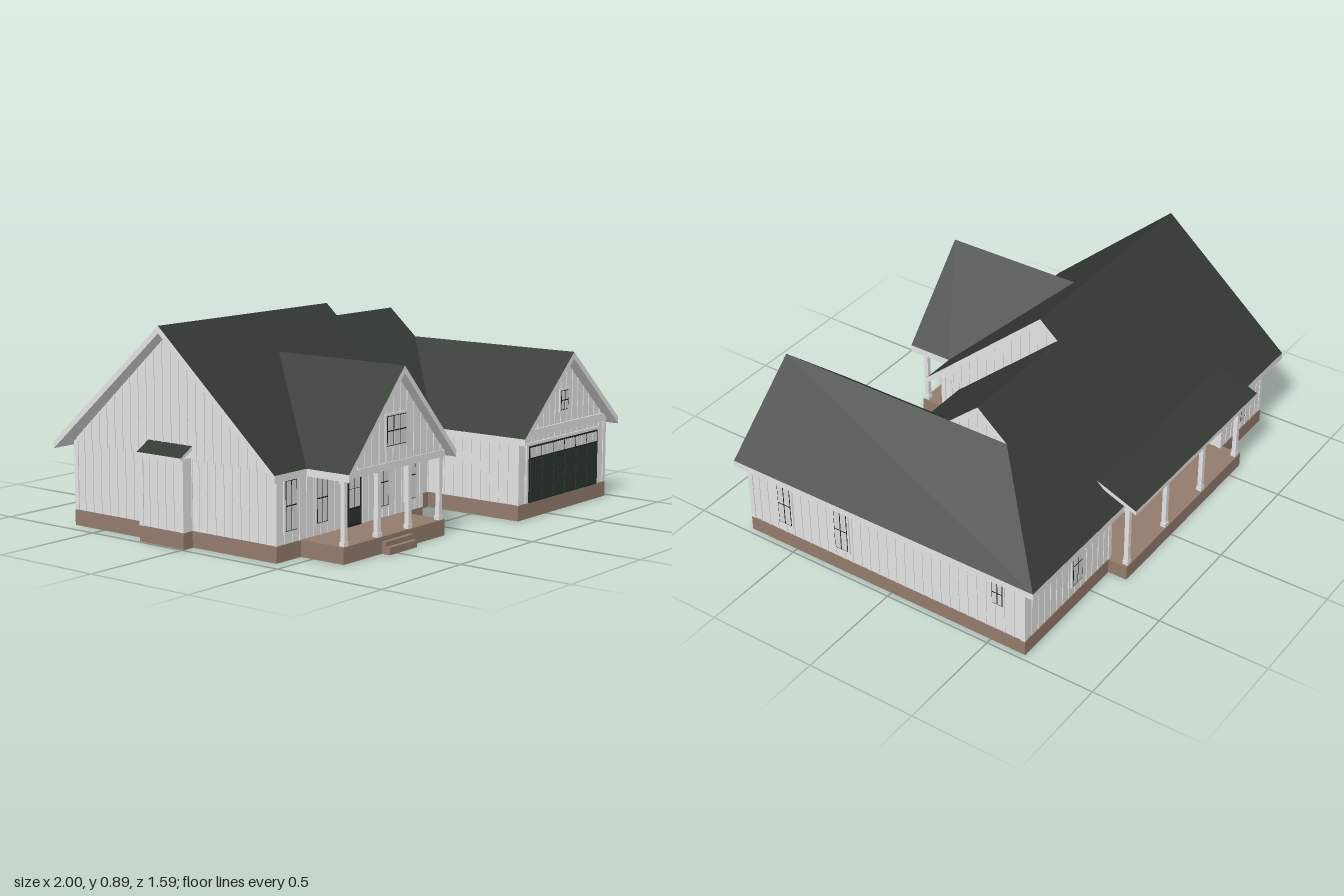
import * as THREE from 'three';

const mat = (name, color) => Object.assign(new THREE.MeshStandardMaterial({ color }), { name });

export function createModel() {
  const root = new THREE.Group();
  root.name = 'house';
  const M = {
    roof: mat('roof green', 0x333933), wall: mat('siding white', 0xe3e3e3), brick: mat('brick brown', 0x937b6d),
    door: mat('door green', 0x2b342d), glass: mat('glass grey', 0xd6d9d8), frame: mat('sash dark', 0x222624),
    floor: mat('garage floor grey', 0x7c7c7e), inner: mat('interior grey', 0xbcc0ba),
  };
  const add = (name, geo, m, parent = root) => {
    const mesh = new THREE.Mesh(geo, m);
    mesh.name = name;
    parent.add(mesh);
    return mesh;
  };
  // Box given by its minimum and maximum corners
  const box = (name, m, x0, y0, z0, x1, y1, z1, parent = root) => {
    const mesh = add(name, new THREE.BoxGeometry(x1 - x0, y1 - y0, z1 - z0), m, parent);
    mesh.position.set((x0 + x1) / 2, (y0 + y1) / 2, (z0 + z1) / 2);
    return mesh;
  };

  // Roof slab: dark top face, light fascia and soffit; corners are [x, y, z]
  const roof = (name, pts, t = 0.03) => {
    let flat = pts.map(p => new THREE.Vector2(p[0], -p[2]));
    if (THREE.ShapeUtils.isClockWise(flat)) {
      pts = [...pts].reverse();
      flat = flat.reverse();
    }
    const top = [], trim = [];
    const low = p => [p[0], p[1] - t, p[2]];
    for (const [a, b, c] of THREE.ShapeUtils.triangulateShape(flat, [])) {
      top.push(...pts[a], ...pts[b], ...pts[c]);
      trim.push(...low(pts[c]), ...low(pts[b]), ...low(pts[a]));
    }
    pts.forEach((p, i) => {
      const q = pts[(i + 1) % pts.length];
      trim.push(...low(p), ...low(q), ...q, ...low(p), ...q, ...p);
    });
    for (const [n, arr, m] of [[name, top, M.roof], [name + ' fascia', trim, M.wall]]) {
      const g = new THREE.BufferGeometry();
      g.setAttribute('position', new THREE.Float32BufferAttribute(arr, 3));
      g.computeVertexNormals();
      add(n, g, m);
    }
  };
  const E = 0.36, back = z => E + 0.87 * (z + 0.72);
  const X = 0.625, Z1 = -0.113, R1 = back(Z1), R2 = back(-0.2), R3 = back(-0.34);
  roof('main front roof', [[-1, E, 0.487], [0.053, E, 0.487], [0.053, R1, Z1], [-1, R1, Z1]]);
  roof('back roof', [[-1, E, -0.72], [1, E, -0.72], [X, R3, -0.34], [X, R2, -0.2],
    [0.053, R2, -0.2], [0.053, R1, Z1], [-1, R1, Z1]]);
  roof('middle front roof', [[0.053, E, 0.315], [0.253, E, 0.315], [X, R3, -0.06], [X, R2, -0.2], [0.053, R2, -0.2]]);
  roof('garage left roof', [[0.253, E, 0.79], [X, R3, 0.79], [X, R3, -0.06], [0.253, E, 0.315]]);
  roof('garage right roof', [[X, R3, 0.79], [1, E, 0.79], [1, E, -0.72], [X, R3, -0.34]]);
  for (const s of [-1, 1]) {
    const x = -0.46 + s * 0.35;
    roof('porch roof', [[x, E, 0.697], [-0.46, 0.743, 0.697], [-0.46, 0.743, 0.047], [x, E, 0.487]]);
  }
  roof('back porch roof', [[-0.63, 0.46, -0.61], [0.37, 0.46, -0.61], [0.37, 0.385, -0.795], [-0.63, 0.385, -0.795]], 0.02);
  roof('side bay roof', [[-1, 0.37, -0.24], [-0.925, 0.415, -0.24], [-0.925, 0.415, 0], [-1, 0.37, 0]], 0.015);

  // Outer walls with battens, corner boards and foundation, following the plan outline
  const plan = [[-0.925, 0.43], [0, 0.43], [0, 0.26], [0.29, 0.26], [0.29, 0.732], [0.963, 0.732], [0.963, -0.655],
    [0.35, -0.655], [0.35, -0.5], [-0.58, -0.5], [-0.58, -0.655], [-0.925, -0.655],
    [-0.925, -0.23], [-0.978, -0.23], [-0.978, -0.01], [-0.925, -0.01]];
  const strip = (name, m, a, b, y0, y1, w) => box(name, m, Math.min(a[0], b[0]) - w, y0, Math.min(a[1], b[1]) - w,
    Math.max(a[0], b[0]) + w, y1, Math.max(a[1], b[1]) + w);
  plan.forEach((a, i) => {
    const b = plan[(i + 1) % plan.length];
    strip('wall', M.wall, a, b, 0.06, 0.365, 0.007);
    strip('foundation', M.brick, a, b, 0, 0.067, 0.011);
    strip('corner board', M.wall, a, a, 0.067, 0.36, 0.011);
    const len = Math.hypot(b[0] - a[0], b[1] - a[1]), n = Math.round(len / 0.045);
    for (let k = 1; k < n; k++) {
      const x = a[0] + (b[0] - a[0]) * k / n, z = a[1] + (b[1] - a[1]) * k / n;
      box('batten', M.wall, x - 0.01, 0.067, z - 0.003, x + 0.01, 0.36, z + 0.003).rotation.y =
        a[0] === b[0] ? 0 : Math.PI / 2;
    }
  });

  // Gable wall in its own plane: u runs sideways, y up
  const gable = (name, u0, u1, base, shoulder, peak, peakY, pos, turned) => {
    const g = new THREE.Group();
    g.name = name;
    const shape = new THREE.Shape([[u0, base], [u1, base], [u1, shoulder], [peak, peakY], [u0, shoulder]]
      .map(p => new THREE.Vector2(...p)));
    add('gable wall', new THREE.ExtrudeGeometry(shape, { depth: 0.014, bevelEnabled: false }), M.wall, g)
      .position.z = -0.007;
    for (let u = u0 + 0.045; u < u1 - 0.02; u += 0.045) {
      const f = u < peak ? (u - u0) / (peak - u0) : (u1 - u) / (u1 - peak);
      box('gable batten', M.wall, u - 0.003, base, -0.01, u + 0.003, shoulder + f * (peakY - shoulder), 0.01, g);
    }
    if (turned) g.rotation.y = -Math.PI / 2;
    g.position[turned ? 'x' : 'z'] = pos;
    root.add(g);
  };
  gable('left gable', -0.655, 0.43, 0.35, 0.373, Z1, R1 - 0.028, -0.925, true);
  gable('inner gable', -0.655, 0.43, 0.35, 0.373, Z1, R1 - 0.028, 0, true);
  gable('middle gable', -0.36, -0.04, 0.64, 0.65, -0.2, R2 - 0.02, 0.595, true);
  gable('garage gable', 0.29, 0.963, 0.35, 0.363, X, 0.668, 0.732, false);
  gable('porch gable', -0.79, -0.13, 0.345, 0.353, -0.46, 0.715, 0.645, false);
  box('garage gable band', M.wall, 0.28, 0.345, 0.72, 0.973, 0.38, 0.747);

  // Front and back porches
  box('front porch slab', M.brick, -0.79, 0, 0.43, -0.13, 0.068, 0.655);
  box('upper step', M.brick, -0.55, 0, 0.655, -0.37, 0.05, 0.675);
  box('lower step', M.brick, -0.55, 0, 0.675, -0.37, 0.03, 0.695);
  box('back porch slab', M.brick, -0.59, 0, -0.755, 0.36, 0.066, -0.5);
  const post = (x, z, top) => {
    box('porch post', M.wall, x - 0.01, 0.066, z - 0.01, x + 0.01, top, z + 0.01);
    for (const y of [0.066, top - 0.035])
      box('post block', M.wall, x - 0.014, y, z - 0.012, x + 0.014, y + 0.02, z + 0.012);
  };
  for (const x of [-0.77, -0.56, -0.36, -0.15]) post(x, 0.64, 0.35);
  for (const x of [-0.565, -0.265, 0.035, 0.335]) post(x, -0.74, 0.37);
  box('front porch beam', M.wall, -0.79, 0.33, 0.63, -0.13, 0.36, 0.656);
  for (const x of [-0.78, -0.14]) box('porch side beam', M.wall, x - 0.01, 0.33, 0.43, x + 0.01, 0.362, 0.64);
  box('back porch beam', M.wall, -0.58, 0.345, -0.75, 0.35, 0.378, -0.73);

  // Ceilings
  for (const [x0, z0, x1, z1] of [[-0.92, -0.5, 0, 0.43], [0, -0.5, 0.29, 0.26], [0.35, -0.655, 0.96, -0.5],
    [0.29, -0.5, 0.96, 0.73], [-0.92, -0.655, -0.58, -0.5], [-0.58, -0.73, 0.35, -0.5], [-0.79, 0.43, -0.13, 0.64]])
    box('ceiling', M.inner, x0, 0.342, z0, x1, 0.35, z1);

  // Garage floor, room partitions and kitchen counters
  box('garage floor', M.floor, 0.295, 0.03, -0.02, 0.955, 0.05, 0.725);
  for (const [a, b] of [[[0.29, -0.02], [0.96, -0.02]], [[0.29, -0.02], [0.29, 0.26]], [[-0.58, -0.5], [-0.58, 0.43]],
    [[-0.92, -0.1], [-0.58, -0.1]], [[-0.92, 0.13], [-0.58, 0.13]], [[-0.3, 0.1], [-0.3, 0.43]], [[-0.3, 0.1], [0, 0.1]],
    [[0.35, -0.5], [0.35, -0.02]], [[0.35, -0.3], [0.96, -0.3]], [[0.65, -0.65], [0.65, -0.02]], [[0, 0.1], [0, 0.26]],
    [[-0.92, -0.4], [-0.58, -0.4]], [[0.12, 0.02], [0.29, 0.02]]])
    strip('partition', M.inner, a, b, 0.06, 0.345, 0.006);
  for (const [x, z0, z1] of [[-0.16, -0.4, -0.05], [0.06, -0.48, 0.02]]) {
    box('kitchen cabinet', M.wall, x, 0.07, z0, x + 0.07, 0.15, z1);
    box('kitchen counter', M.frame, x - 0.005, 0.15, z0 - 0.005, x + 0.075, 0.157, z1 + 0.005);
  }

  // Framed opening through a wall, facing +z before turning; x, y, z is its centre
  const opening = (name, x, y, z, w, h, turn = 0, cols = 2, rows = 2) => {
    const g = new THREE.Group();
    g.name = name;
    const W = w / 2, H = h / 2, t = 0.0027;
    box('casing', M.wall, -W - 0.009, -H - 0.009, -0.013, W + 0.009, H + 0.009, 0.013, g);
    box('sash', M.frame, -W, -H, -0.0145, W, H, 0.0145, g);
    const cw = w / cols, ch = h / rows;
    for (let i = 0; i < cols; i++) for (let j = 0; j < rows; j++)
      box('pane', M.glass, -W + i * cw + t, -H + j * ch + t, -0.0155,
        -W + (i + 1) * cw - t, -H + (j + 1) * ch - t, 0.0155, g);
    g.position.set(x, y, z);
    g.rotation.y = turn;
    root.add(g);
  };
  for (const x of [-0.85, -0.66, -0.265, -0.078]) opening('front window', x, 0.217, 0.43, 0.066, 0.2);
  opening('middle window', 0.143, 0.22, 0.26, 0.115, 0.11, 0, 4, 1);
  opening('porch gable window', -0.46, 0.485, 0.645, 0.125, 0.12, 0, 3, 2);
  opening('garage gable window', X, 0.478, 0.732, 0.055, 0.085);
  for (const z of [0.55, 0.25]) opening('side window', 0.963, 0.217, z, 0.066, 0.2, Math.PI / 2);
  opening('small side window', 0.963, 0.26, -0.535, 0.05, 0.115, Math.PI / 2);
  for (const x of [0.6, -0.74]) opening('back window', x, 0.217, -0.655, 0.066, 0.2, Math.PI);
  for (const x of [0.2, -0.42]) opening('back porch window', x, 0.217, -0.5, 0.1, 0.19, Math.PI);
  opening('back porch door', -0.06, 0.188, -0.5, 0.16, 0.24, Math.PI, 2, 1);

  // Front door: green leaf with a tall light and a lower panel
  box('front door casing', M.wall, -0.515, 0.067, 0.417, -0.405, 0.322, 0.443);
  box('front door', M.frame, -0.505, 0.068, 0.413, -0.415, 0.312, 0.447);
  for (const x of [-0.493, -0.4585]) for (const y of [0.146, 0.224])
    box('door light', M.glass, x, y, 0.411, x + 0.0315, y + 0.075, 0.449);
  box('door panel', M.door, -0.495, 0.08, 0.408, -0.425, 0.135, 0.452);

  // Garage door: six columns of panels under a row of lights
  box('garage door casing', M.wall, 0.335, 0.067, 0.732, 0.91, 0.325, 0.746);
  box('garage door', M.frame, 0.35, 0.068, 0.717, 0.895, 0.312, 0.749);
  for (let i = 0; i < 6; i++) {
    const x = 0.354 + i * 0.0897;
    for (let j = 0; j < 3; j++)
      box('garage door panel', M.door, x + 0.003, 0.073 + j * 0.062, 0.746, x + 0.085, 0.13 + j * 0.062, 0.754);
    for (const d of [0.003, 0.0455])
      box('garage door light', M.glass, x + d, 0.262, 0.746, x + d + 0.0395, 0.305, 0.751);
  }
  return root;
}
